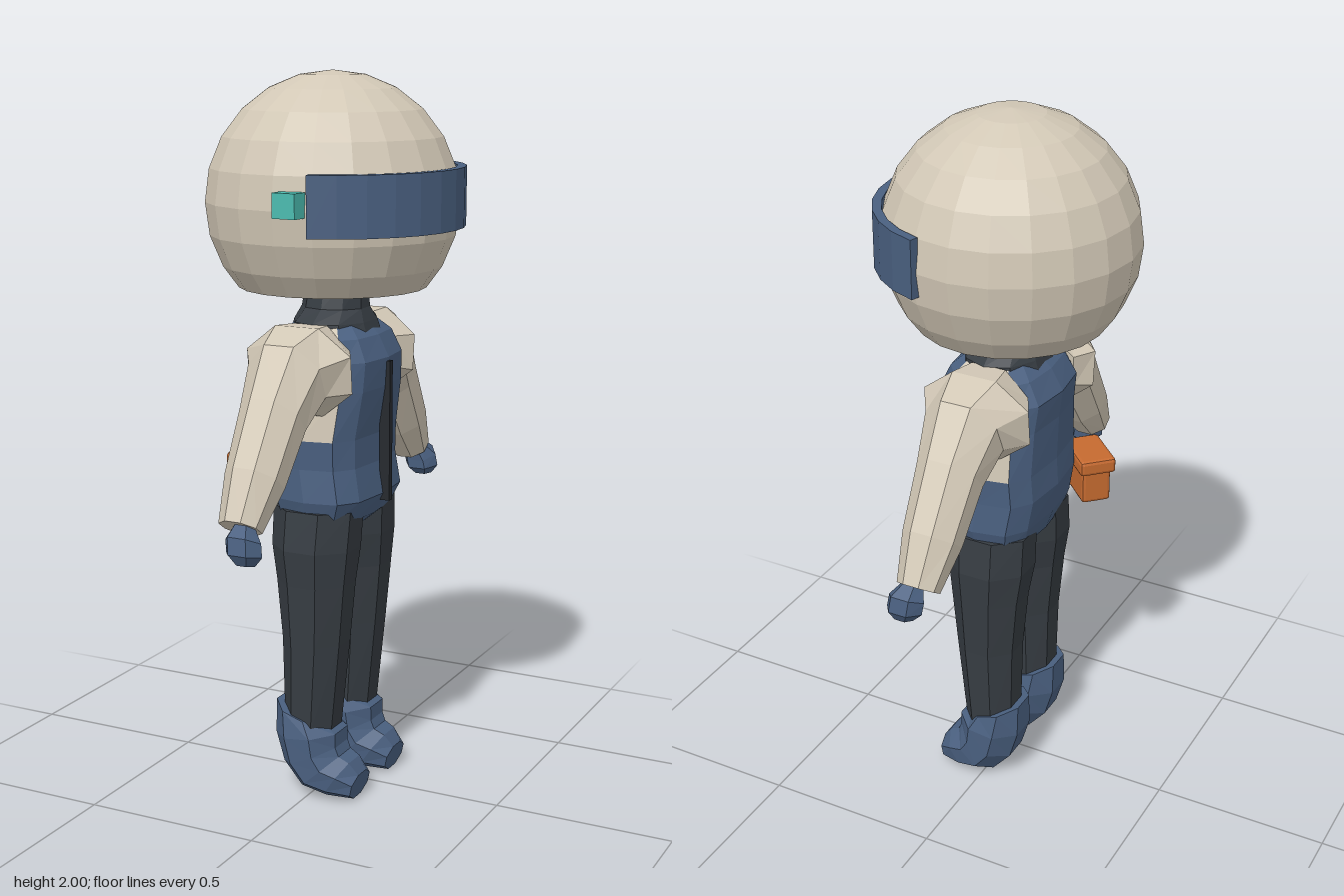
import * as THREE from 'three';
import { RoundedBoxGeometry } from 'three/addons/geometries/RoundedBoxGeometry.js';

const mat = (name, color) => {
  const m = new THREE.MeshStandardMaterial({ color, flatShading: true });
  m.name = name;
  return m;
};

// Loft through rings. Each ring has two opposite points a and b, and a half-width vector side.
// pick(row, column) chooses which faces to build; half turns the flats towards the axes.
function loft(rings, { n = 8, half = true, power = 1, pick = () => true, caps = true } = {}) {
  const off = half ? 0.5 : 0, grow = half ? 1 / Math.cos(Math.PI / n) : 1;
  const bend = (v) => Math.sign(v) * Math.pow(Math.abs(v), power) * grow;
  const pos = [], index = [], mids = [];
  for (const { a, b, side } of rings) {
    const mid = a.clone().add(b).multiplyScalar(0.5), u = a.clone().sub(mid);
    mids.push(mid);
    for (let k = 0; k < n; k++) {
      const t = ((k + off) / n) * Math.PI * 2;
      const p = mid.clone().addScaledVector(u, bend(Math.cos(t))).addScaledVector(side, bend(Math.sin(t)));
      pos.push(p.x, p.y, p.z);
    }
  }
  const last = rings.length - 1;
  const turn = rings[0].a.clone().sub(rings[0].b).cross(rings[0].side).dot(mids[last].clone().sub(mids[0]));
  const tri = (a, b, c) => (turn > 0 ? index.push(a, b, c) : index.push(a, c, b));
  for (let r = 0; r < last; r++) {
    for (let k = 0; k < n; k++) {
      if (!pick(r, k)) continue;
      const j = (k + 1) % n, p = r * n, q = p + n;
      tri(p + k, p + j, q + j);
      tri(p + k, q + j, q + k);
    }
  }
  if (caps) {
    const c = pos.length / 3;
    pos.push(...mids[0].toArray(), ...mids[last].toArray());
    for (let k = 0; k < n; k++) {
      const j = (k + 1) % n;
      tri(c, j, k);
      tri(c + 1, last * n + k, last * n + j);
    }
  }
  const g = new THREE.BufferGeometry();
  g.setAttribute('position', new THREE.Float32BufferAttribute(pos, 3));
  g.setIndex(index);
  g.computeVertexNormals();
  return g;
}

const V = (x, y, z) => new THREE.Vector3(x, y, z);
// Ring in a fore-aft plane: centre x, front (z, y), back (z, y), half width
const foreAft = (x, zf, yf, zb, yb, w) => ({ a: V(x, yf, zf), b: V(x, yb, zb), side: V(w, 0, 0) });
// Horizontal ring: height, half width, front z, back z
const level = (y, w, zf, zb, x = 0) => foreAft(x, zf, y, zb, y, w);
// Ring across an arm: upper (x, y), lower (x, y), half depth, z offset
const across = (s, xa, ya, xb, yb, d, z = -0.01) => ({ a: V(s * xa, ya, z), b: V(s * xb, yb, z), side: V(0, 0, d) });

export function createModel() {
  const cream = mat('cream', 0xd2c8b6);
  const blue = mat('slate blue', 0x4a6080);
  const dark = mat('charcoal', 0x363c42);
  const black = mat('zip black', 0x25292e);
  const orange = mat('orange', 0xc56a30);
  const teal = mat('teal', 0x4cbcb0);

  const root = new THREE.Group();
  const body = new THREE.Group();
  body.name = 'figure';
  body.rotation.y = Math.PI / 2;
  root.add(body);
  const add = (name, geometry, material, x = 0, y = 0, z = 0) => {
    const m = new THREE.Mesh(geometry, material);
    m.name = name;
    m.position.set(x, y, z);
    body.add(m);
    return m;
  };

  // Helmet: a sphere profile cut flat underneath
  const profile = [new THREE.Vector2(0, -0.235), new THREE.Vector2(0.222, -0.235)];
  for (let i = 8.8; i > 0; i = Math.ceil(i) - 1) {
    const t = (i * Math.PI) / 12;
    profile.push(new THREE.Vector2(Math.sin(t) * 0.345, -Math.cos(t) * -0.345));
  }
  profile.push(new THREE.Vector2(0, 0.345));
  add('helmet', new THREE.LatheGeometry(profile, 20), cream, 0, 1.655, -0.01);

  // Visor: curved band around the front of the helmet
  const band = [];
  for (let i = 0; i <= 12; i++) {
    const t = (i / 12 - 0.5) * 2 * 1.29, s = Math.sin(t), c = Math.cos(t);
    band.push({ a: V(s * 0.36, 1.67, c * 0.36 - 0.01), b: V(s * 0.335, 1.67, c * 0.335 - 0.01), side: V(0, 0.08, 0) });
  }
  // Four-sided rings with half-step corners form a rectangular band section
  add('visor', loft(band, { n: 4 }), blue);

  const sensor = add('helmetSensor', new THREE.BoxGeometry(0.05, 0.065, 0.068), teal, -0.35, 1.673, 0.042);
  sensor.rotation.y = -0.08;

  // Neck and collar
  add('collar', loft([
    level(1.29, 0.14, 0.12, -0.12), level(1.335, 0.135, 0.105, -0.105),
    level(1.37, 0.085, 0.09, -0.09), level(1.44, 0.07, 0.085, -0.08),
  ], { n: 10 }), dark);

  // Torso: blue front, back and hips with cream side panels
  const torso = [
    level(0.75, 0.1, 0.06, -0.07), level(0.8, 0.185, 0.12, -0.12), level(0.86, 0.205, 0.15, -0.14),
    level(0.95, 0.2, 0.135, -0.155), level(1.03, 0.205, 0.135, -0.15), level(1.16, 0.19, 0.155, -0.155),
    level(1.24, 0.18, 0.16, -0.165), level(1.3, 0.165, 0.13, -0.13), level(1.335, 0.12, 0.09, -0.09),
  ];
  const isPanel = (r, k) => r >= 4 && [2, 3, 8, 9].includes(k);
  const torsoShape = { n: 12, half: false, power: 0.65 };
  add('torso', loft(torso, { ...torsoShape, pick: (r, k) => !isPanel(r, k) }), blue);
  add('torsoSidePanels', loft(torso, { ...torsoShape, pick: isPanel, caps: false }), cream);
  add('zip', new THREE.BoxGeometry(0.018, 0.39, 0.03), black, 0, 1.035, 0.153);

  for (const [s, label] of [[1, 'left'], [-1, 'right']]) {
    // Sleeve from the shoulder to the wrist
    add(label + 'Sleeve', loft([
      across(s, 0.13, 1.335, 0.15, 1.12, 0.12), across(s, 0.21, 1.34, 0.185, 1.1, 0.155),
      across(s, 0.31, 1.305, 0.22, 1.11, 0.105), across(s, 0.4, 1.18, 0.29, 1.055, 0.085),
      across(s, 0.5, 1.02, 0.385, 0.93, 0.075), across(s, 0.56, 0.895, 0.48, 0.84, 0.055),
    ]), cream);

    // Hand
    add(label + 'Hand', loft([
      across(s, 0.545, 0.885, 0.505, 0.86, 0.028, 0.005), across(s, 0.58, 0.86, 0.51, 0.825, 0.045, 0.012),
      across(s, 0.587, 0.815, 0.512, 0.8, 0.045, 0.017), across(s, 0.57, 0.785, 0.53, 0.78, 0.025, 0.02),
    ], { n: 6 }), blue);

    // Trouser leg
    add(label + 'Leg', loft([
      level(0.2, 0.078, 0.06, -0.085, s * 0.115), level(0.45, 0.085, 0.085, -0.09, s * 0.115),
      level(0.62, 0.092, 0.1, -0.105, s * 0.115), level(0.72, 0.105, 0.11, -0.12, s * 0.109),
      level(0.83, 0.1, 0.115, -0.12, s * 0.1),
    ]), dark);

    // Boot curving from the ankle to the toe
    const x = s * 0.115;
    add(label + 'Boot', loft([
      foreAft(x, 0.04, 0.215, -0.11, 0.265, 0.085), foreAft(x, 0.075, 0.19, -0.11, 0.17, 0.097),
      foreAft(x, 0.075, 0.15, -0.085, 0.085, 0.095), foreAft(x, 0.085, 0.125, -0.03, 0.02, 0.092),
      foreAft(x, 0.115, 0.11, 0.045, 0.003, 0.082), foreAft(x, 0.14, 0.075, 0.125, 0.003, 0.058),
    ]), blue);
  }

  // Hip pouch on the right rear, with an overhanging lid
  const pouch = new THREE.Group();
  pouch.name = 'hipPouch';
  pouch.position.set(-0.19, 0, -0.16);
  pouch.rotation.y = Math.PI / 4;
  for (const [name, w, h, d, y] of [['pouchBag', 0.132, 0.11, 0.085, 0.885], ['pouchLid', 0.16, 0.045, 0.105, 0.947]]) {
    const m = new THREE.Mesh(new RoundedBoxGeometry(w, h, d, 1, 0.01), orange);
    m.name = name;
    m.position.y = y;
    pouch.add(m);
  }
  body.add(pouch);

  return root;
}
